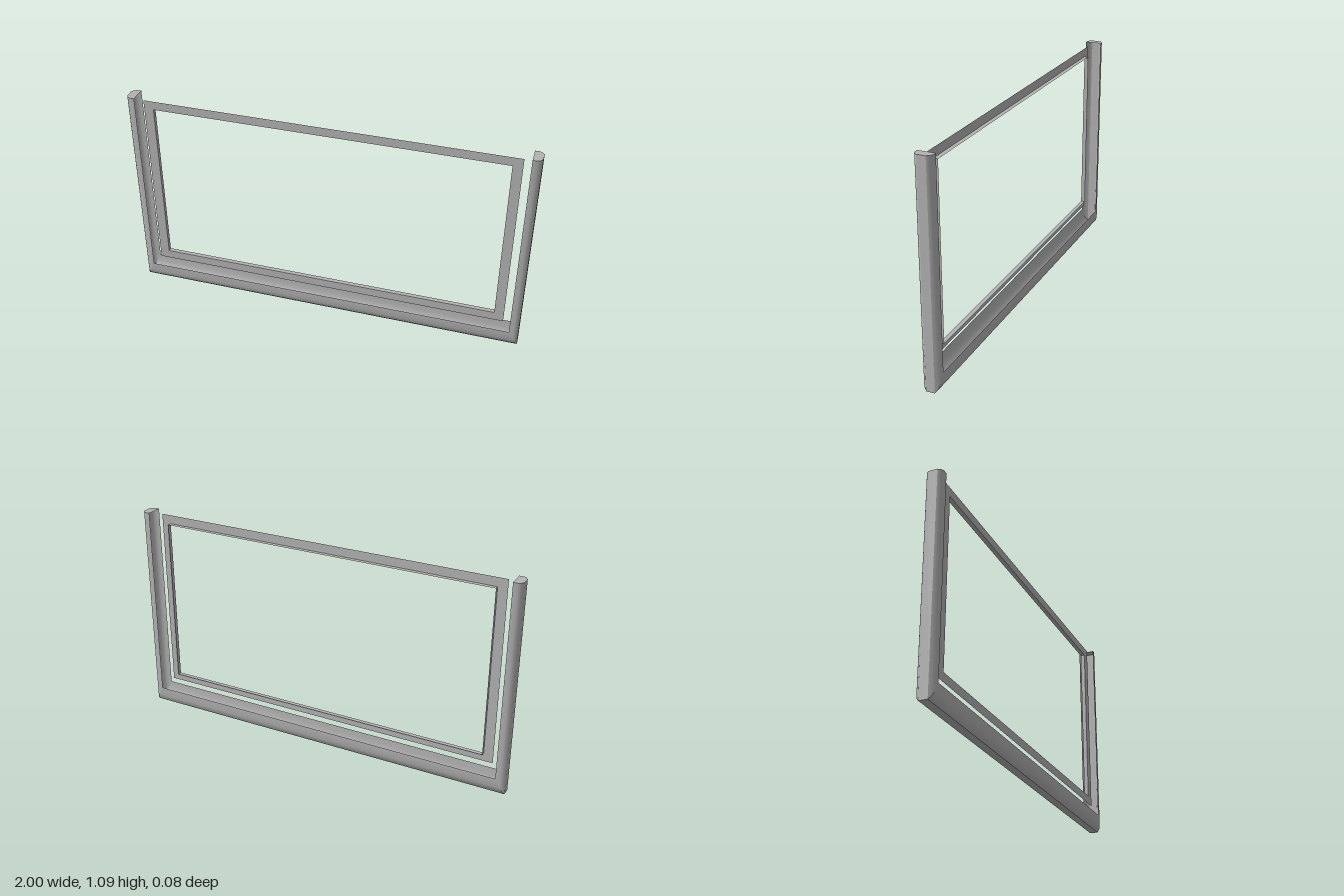
import * as THREE from 'three';
import { toCreasedNormals } from 'three/addons/utils/BufferGeometryUtils.js';

const TOP = 1.09;      // height of the posts
const POST = 0.045;    // depth of the post channel
const RAIL = 0.085;    // depth of the rail channel

// Half of the channel section: [fraction of depth, z], outer plate to lip
const half = [[0, 0.021], [0.18, 0.034], [0.48, 0.042], [1, 0.042]];
const section = [...half.map(([t, z]) => [t, -z]).reverse(), ...half];

// Strip of quads between two rows of points
function strip(a, b) {
  const pos = [];
  for (let i = 0; i < a.length - 1; i++) {
    for (const p of [a[i], b[i], b[i + 1], a[i], b[i + 1], a[i + 1]]) pos.push(...p);
  }
  const g = new THREE.BufferGeometry();
  g.setAttribute('position', new THREE.Float32BufferAttribute(pos, 3));
  return g;
}

function rectangle(path, w, y0, y1) {
  path.moveTo(-w, y0);
  path.lineTo(w, y0);
  path.lineTo(w, y1);
  path.lineTo(-w, y1);
  path.closePath();
  return path;
}

export function createModel() {
  const model = new THREE.Group();
  const grey = new THREE.MeshStandardMaterial({ color: 0xb2b2b2, side: THREE.DoubleSide });
  grey.name = 'grey';

  const add = (name, geometry) => {
    const mesh = new THREE.Mesh(geometry, grey);
    mesh.name = name;
    model.add(mesh);
    return mesh;
  };

  // Section rows at the post tops and at the mitred corners
  const topRow = (s) => section.map(([t, z]) => [s * (1 - POST * t), TOP, z]);
  const cornerRow = (s) => section.map(([t, z]) => [s * (1 - POST * t), RAIL * t, z]);

  // Bottom rail, an open channel facing up
  add('bottomRail', toCreasedNormals(strip(cornerRow(-1), cornerRow(1)), 0.55));

  // Side posts, open channels facing inward, with closed tops
  for (const [s, side] of [[1, 'left'], [-1, 'right']]) {
    const rows = s > 0 ? [cornerRow(s), topRow(s)] : [topRow(s), cornerRow(s)];
    add(side + 'Post', toCreasedNormals(strip(...rows), 0.55));
    const cap = new THREE.Shape(section.map(([t, z]) => new THREE.Vector2(s * (1 - POST * t), -z)));
    const capGeometry = new THREE.ShapeGeometry(cap);
    capGeometry.rotateX(-Math.PI / 2);
    capGeometry.translate(0, TOP, 0);
    add(side + 'PostCap', capGeometry);
  }

  // Flat inner frame with a rectangular opening
  const frame = rectangle(new THREE.Shape(), 0.918, 0.127, 1.075);
  frame.holes.push(rectangle(new THREE.Path(), 0.87, 0.172, 1.03));
  const frameGeometry = new THREE.ShapeGeometry(frame);
  frameGeometry.translate(0, 0, 0.018);
  add('innerFrame', frameGeometry);

  // Thin rim running back from the opening, facing inward
  const corners = [[-0.87, 0.172], [0.87, 0.172], [0.87, 1.03], [-0.87, 1.03], [-0.87, 0.172]];
  const rim = strip(corners.map(([x, y]) => [x, y, 0.018]), corners.map(([x, y]) => [x, y, -0.004]));
  rim.computeVertexNormals();
  // Turn the rim faces toward the opening
  const n = rim.attributes.normal;
  if (n.getY(0) < 0) {
    const p = rim.attributes.position;
    for (let i = 0; i < p.count; i += 3) {
      const a = [p.getX(i), p.getY(i), p.getZ(i)];
      p.setXYZ(i, p.getX(i + 1), p.getY(i + 1), p.getZ(i + 1));
      p.setXYZ(i + 1, ...a);
    }
    rim.computeVertexNormals();
  }
  add('openingRim', rim);

  return model;
}
